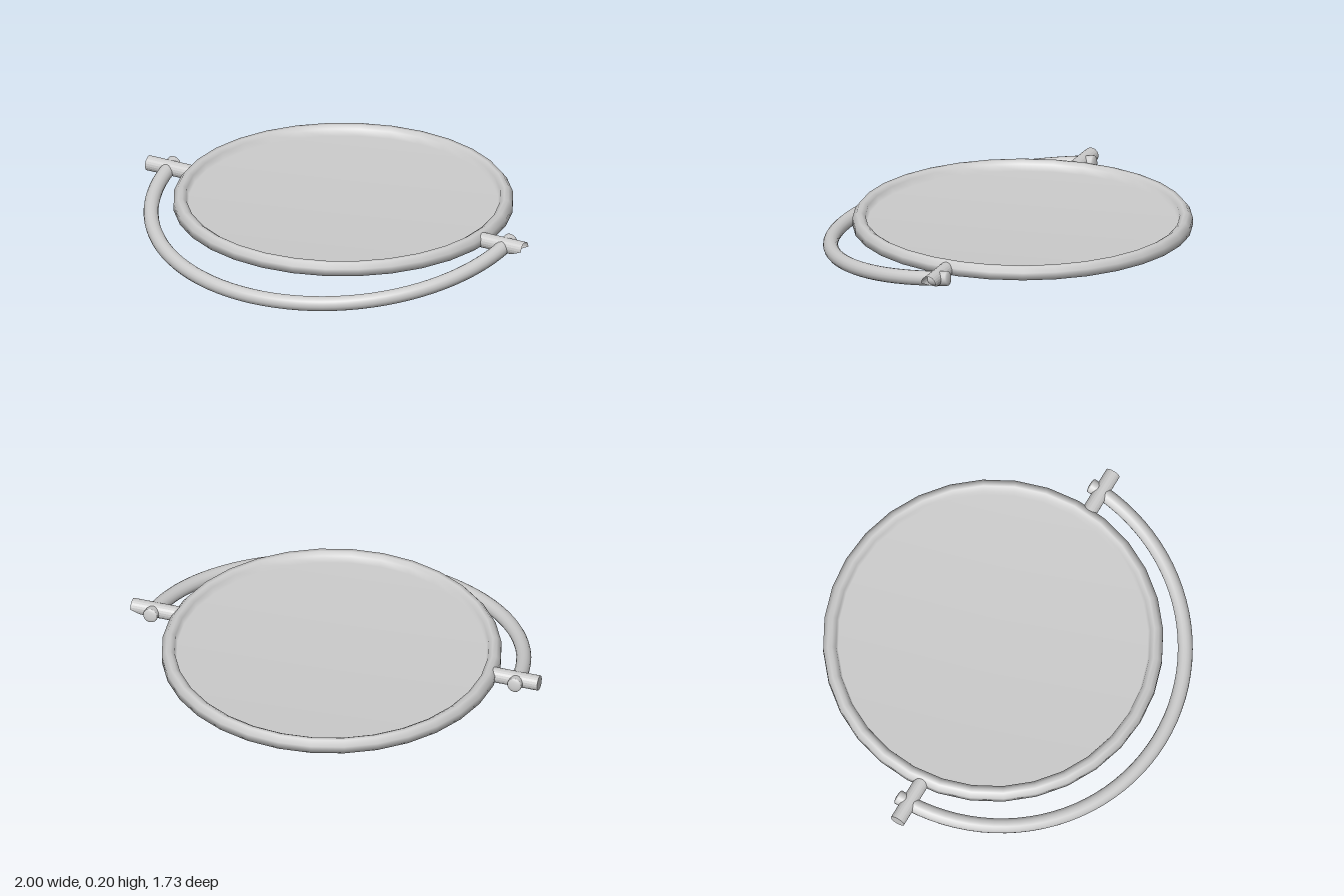
import * as THREE from 'three';

const V2 = (x, y) => new THREE.Vector2(x, y);

export function createModel() {
  const group = new THREE.Group();
  const smooth = new THREE.MeshStandardMaterial({ color: 0xcccccc, side: THREE.DoubleSide });
  const faceted = new THREE.MeshStandardMaterial({ color: 0xcccccc, side: THREE.DoubleSide, flatShading: true });
  const add = (name, geometry, material, parent = group) => {
    const mesh = new THREE.Mesh(geometry, material);
    mesh.name = name;
    parent.add(mesh);
    return mesh;
  };

  // Round rim and recessed disc in one turned sheet
  const profile = [
    V2(0.725, 0.155), V2(0.73, 0.14), V2(0.795, 0.14), V2(0.795, 0.175),
    V2(0.775, 0.2), V2(0.755, 0.2), V2(0.735, 0.187), V2(0.725, 0.155), V2(0, 0.155),
  ];
  add('mirrorDisc', new THREE.LatheGeometry(profile, 32), smooth).position.z = -0.065;

  // Half-round handle, tilted down towards the front
  const radius = 0.895, tube = 0.035;
  const handle = new THREE.Group();
  handle.name = 'handle';
  handle.position.set(0, 0.16, -0.055);
  handle.rotation.x = 0.14;
  group.add(handle);
  const arc = new THREE.TorusGeometry(radius, tube, 16, 48, Math.PI);
  arc.rotateX(Math.PI / 2);
  add('handleArc', arc, smooth, handle);

  for (const side of [-1, 1]) {
    // Slightly domed end of the handle
    const cap = new THREE.SphereGeometry(tube, 16, 6, 0, Math.PI * 2, 0, Math.PI / 2);
    cap.scale(1, 0.3, 1);
    cap.rotateX(-Math.PI / 2);
    add('handleEnd', cap, smooth, handle).position.x = side * radius;

    // Pivot pin; the left one is an open tube with its lower tip cut on a slant
    const open = side > 0;
    const pin = new THREE.CylinderGeometry(0.036, 0.036, 0.23, 20, 1, open);
    pin.rotateZ(-Math.PI / 2);
    if (open) {
      const p = pin.attributes.position;
      for (let i = 0; i < p.count; i++) {
        if (p.getX(i) > 0) p.setX(i, p.getX(i) + Math.min(0, p.getY(i)) * 2.2);
      }
    }
    add('pivotPin', pin, faceted).position.set(side * 0.885, 0.158, 0);
  }
  return group;
}
